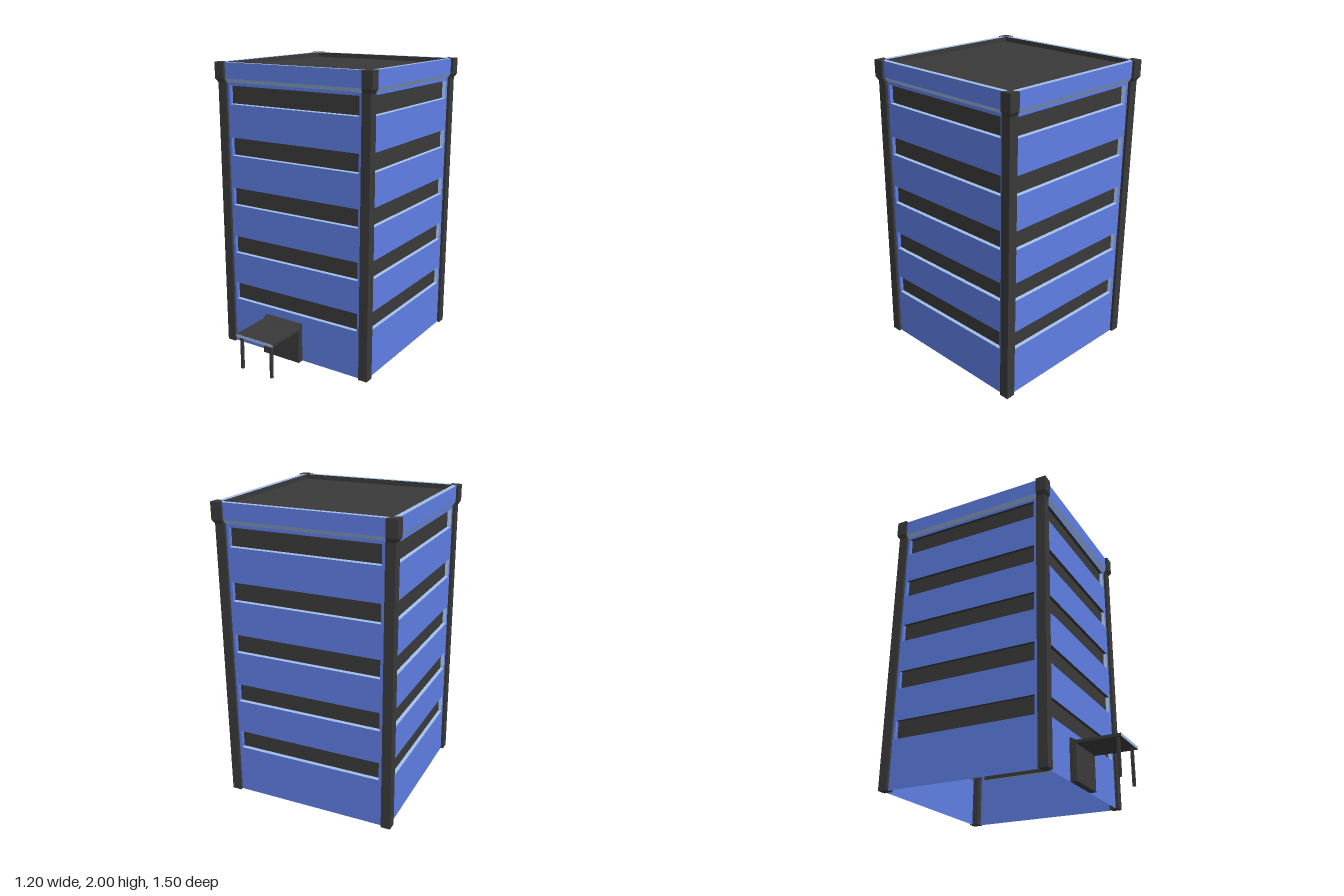
import * as THREE from 'three';

const mat = (name, color) => {
  const m = new THREE.MeshStandardMaterial({ color, side: THREE.DoubleSide });
  m.name = name;
  return m;
};

export function createModel() {
  const blue = mat('blue cladding', 0x5f7ee4);
  const dark = mat('dark grey', 0x3a3a3a);
  const pale = mat('pale blue trim', 0xa0bdea);

  const model = new THREE.Group();
  model.name = 'officeTower';
  const tower = new THREE.Group();
  tower.name = 'tower';
  tower.position.z = -0.15;
  model.add(tower);

  const add = (parent, name, geo, material, x = 0, y = 0, z = 0) => {
    const mesh = new THREE.Mesh(geo, material);
    mesh.name = name;
    mesh.position.set(x, y, z);
    parent.add(mesh);
    return mesh;
  };
  // flat four-cornered panel, corners counter-clockwise from its front
  const quad = (a, b, c, d) => {
    const g = new THREE.BufferGeometry();
    g.setAttribute('position', new THREE.Float32BufferAttribute([a, b, c, a, c, d].flat(), 3));
    g.computeVertexNormals();
    return g;
  };
  const box = (x0, x1, y0, y1, z0, z1) => new THREE.BoxGeometry(x1 - x0, y1 - y0, z1 - z0)
    .translate((x0 + x1) / 2, (y0 + y1) / 2, (z0 + z1) / 2);

  const WALL = 0.566, GLASS = 0.544, RIM = 0.583, INNER = 0.55, ROOF = 1.965;
  const L = -0.502, R = 0.495, WIN_H = 0.124;
  const rows = [0, 1, 2, 3, 4].map(i => 0.33 + i * 0.348);

  // upright cap at a corner, with its inner corner cut toward the roof
  const capShape = new THREE.Shape([[0.6, 0.6], [0.527, 0.6], [0.527, 0.583], [0.55, 0.55],
    [0.583, 0.527], [0.6, 0.527]].map(p => new THREE.Vector2(p[0], -p[1])));
  const capGeo = new THREE.ExtrudeGeometry(capShape, { depth: 0.11, bevelEnabled: false })
    .rotateX(-Math.PI / 2);
  // tapered block joining post to cap
  const taperGeo = box(0.527, 0.6, 1.865, 1.89, 0.527, 0.6);
  const tp = taperGeo.attributes.position;
  for (let i = 0; i < tp.count; i++) {
    if (tp.getY(i) < 1.87) {
      tp.setX(i, Math.min(tp.getX(i), 0.585));
      tp.setZ(i, Math.min(tp.getZ(i), 0.585));
    }
  }
  taperGeo.computeVertexNormals();

  for (let k = 0; k < 4; k++) {
    const side = new THREE.Group();
    side.name = 'side' + (k + 1);
    side.rotation.y = k * Math.PI / 2;
    tower.add(side);

    // wall with openings for the window bands
    const wall = new THREE.Shape([[-WALL, 0], [WALL, 0], [WALL, 1.866], [-WALL, 1.866]]
      .map(p => new THREE.Vector2(...p)));
    for (const y of rows) {
      wall.holes.push(new THREE.Path([[L, y], [L, y + WIN_H], [R, y + WIN_H], [R, y]]
        .map(p => new THREE.Vector2(...p))));
    }
    add(side, 'wall', new THREE.ShapeGeometry(wall), blue, 0, 0, WALL);

    // shallow window bands with sill and reveals
    for (const y of rows) {
      const t = y + WIN_H, l = L + 0.003, r = R - 0.009, b = y + 0.004;
      add(side, 'windowBand', quad([l, b, GLASS], [r, b, GLASS], [r, t, GLASS], [l, t, GLASS]), dark);
      add(side, 'windowSill', quad([L, y, WALL], [R, y, WALL], [r, b, GLASS], [l, b, GLASS]), pale);
      add(side, 'windowRevealRight', quad([R, y, WALL], [R, t, WALL], [r, t, GLASS], [r, b, GLASS]), pale);
      add(side, 'windowRevealLeft', quad([L, t, WALL], [L, y, WALL], [l, b, GLASS], [l, t, GLASS]), blue);
      add(side, 'windowHead', quad([R, t, WALL], [L, t, WALL], [l, t, GLASS], [r, t, GLASS]), dark);
    }

    // parapet: sloped soffit, fascia, coping and inner face
    add(side, 'parapetSoffit',
      quad([-WALL, 1.866, WALL], [WALL, 1.866, WALL], [RIM, 1.892, RIM], [-RIM, 1.892, RIM]), pale);
    add(side, 'parapetFascia',
      quad([-RIM, 1.892, RIM], [RIM, 1.892, RIM], [RIM, 1.998, RIM], [-RIM, 1.998, RIM]), blue);
    add(side, 'parapetCoping',
      quad([-RIM, 1.998, RIM], [RIM, 1.998, RIM], [INNER, 1.998, INNER], [-INNER, 1.998, INNER]), pale);
    add(side, 'parapetInner',
      quad([INNER, ROOF, INNER], [-INNER, ROOF, INNER], [-INNER, 1.998, INNER], [INNER, 1.998, INNER]), dark);

    // corner post and cap
    add(side, 'cornerPost', box(0.521, 0.585, 0, 1.866, 0.521, 0.585), dark);
    add(side, 'cornerPostTaper', taperGeo, dark);
    add(side, 'cornerPostCap', capGeo, dark, 0, 1.89, 0);
  }

  // roof deck
  add(tower, 'roof', new THREE.PlaneGeometry(2 * INNER, 2 * INNER).rotateX(-Math.PI / 2), dark, 0, ROOF, 0);

  // entrance: door block with a sloped top, canopy and two legs
  const porch = new THREE.Group();
  porch.name = 'entrance';
  porch.position.x = 0.003;
  model.add(porch);
  const doorProfile = new THREE.Shape([[0.417, 0], [0.46, 0], [0.46, 0.255], [0.43, 0.275], [0.417, 0.275]]
    .map(p => new THREE.Vector2(...p)));
  add(porch, 'doorBlock', new THREE.ExtrudeGeometry(doorProfile, { depth: 0.3, bevelEnabled: false })
    .rotateY(-Math.PI / 2), dark, 0.06, 0, 0);
  add(porch, 'canopy', box(-0.24, 0.06, 0.236, 0.255, 0.45, 0.7485), dark);
  add(porch, 'canopyEdge', box(-0.24, 0.06, 0.236, 0.255, 0.7485, 0.75), pale);
  for (const x of [-0.215, 0.029]) {
    add(porch, 'canopyLeg', box(x - 0.009, x + 0.009, 0, 0.236, 0.712, 0.73), dark);
  }
  return model;
}
